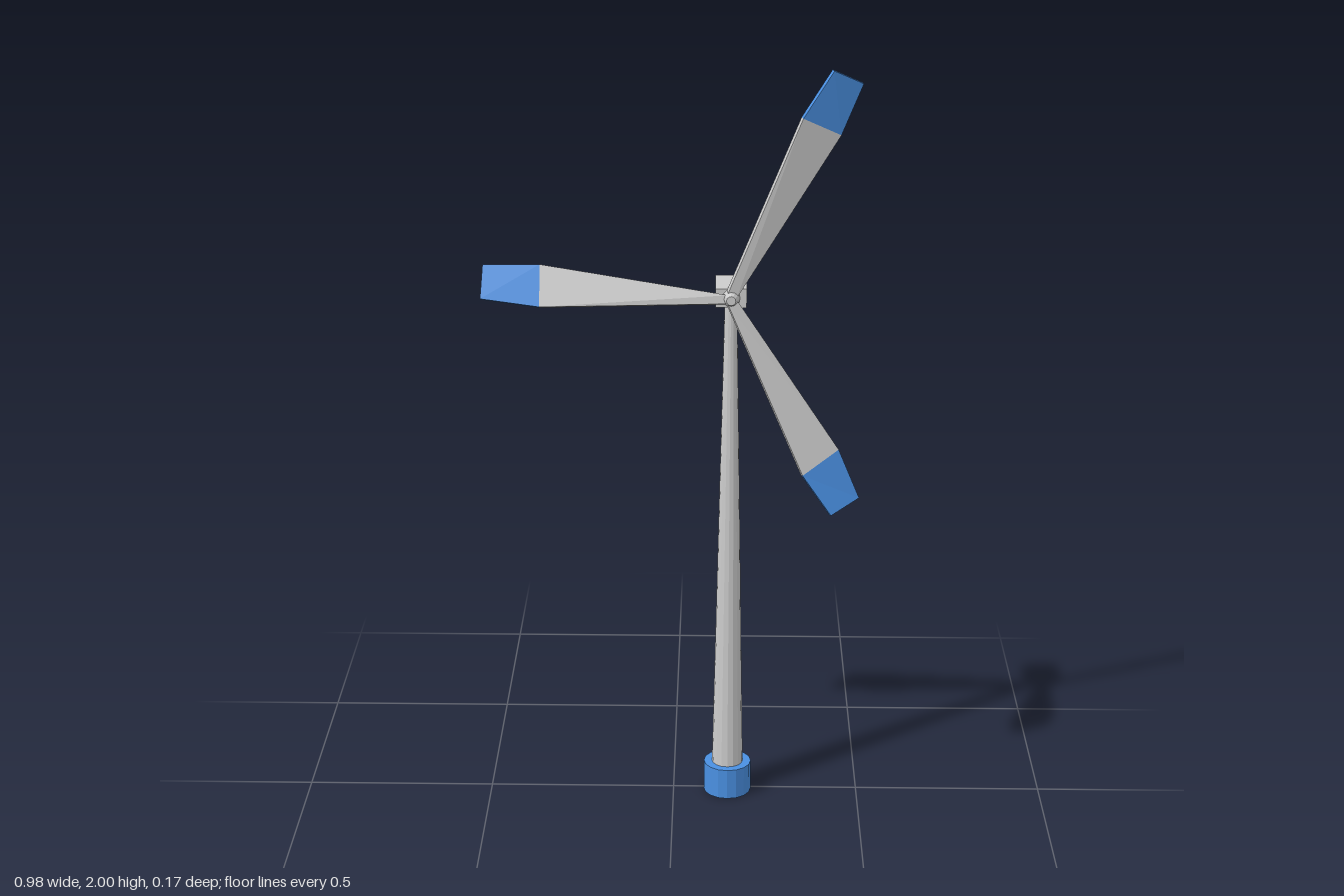
import * as THREE from 'three';

const grey = new THREE.MeshStandardMaterial({ color: 0xcccccc, flatShading: true });
const blue = new THREE.MeshStandardMaterial({ color: 0x4a90e2, flatShading: true });
const AX = 0.147, AZ = 0.008, HUB_Y = 1.413;
const THICKNESS = 0.014;

function add(parent, name, geometry, material, x = 0, y = 0, z = 0) {
  const mesh = new THREE.Mesh(geometry, material);
  mesh.name = name;
  mesh.position.set(x, y, z);
  parent.add(mesh);
  return mesh;
}

// Four-cornered ring from the two front edge points, thickened towards the back
function ring([a, b], normal) {
  const A = new THREE.Vector3(...a), B = new THREE.Vector3(...b);
  const back = normal.clone().multiplyScalar(-THICKNESS);
  return [A, B, B.clone().add(back), A.clone().add(back)];
}

// Closed solid between two rings
function loft(inner, outer) {
  const points = [];
  const quad = (a, b, c, d) => points.push(a, b, c, a, c, d);
  for (let k = 0; k < 4; k++) {
    const n = (k + 1) % 4;
    quad(inner[k], outer[k], outer[n], inner[n]);
  }
  quad(outer[0], outer[3], outer[2], outer[1]);
  quad(...inner);
  const geometry = new THREE.BufferGeometry().setFromPoints(points);
  geometry.computeVertexNormals();
  return geometry;
}

// Blade sections: root, start of the coloured tip, end (two front edge points each)
const blades = {
  rightBlade: [
    [[0.14, 1.424, 0.050], [0.14, 1.402, 0.053]],
    [[-0.34, 1.50, 0.040], [-0.34, 1.40, 0.083]],
    [[-0.485, 1.50, 0.043], [-0.49, 1.42, 0.081]],
  ],
  upperBlade: [
    [[0.16, 1.413, 0.048], [0.136, 1.421, 0.052]],
    [[0.42, 1.83, 0.008], [0.323, 1.88, 0.045]],
    [[0.473, 1.96, 0.005], [0.398, 1.998, 0.037]],
  ],
  lowerBlade: [
    [[0.138, 1.403, 0.053], [0.16, 1.414, 0.050]],
    [[0.336, 0.947, 0.083], [0.43, 1.005, 0.042]],
    [[0.412, 0.835, 0.080], [0.486, 0.872, 0.045]],
  ],
};

function makeBlade(name, sections) {
  const group = new THREE.Group();
  group.name = name;
  const [a, b] = sections[1].map(p => new THREE.Vector3(...p));
  const along = new THREE.Vector3(...sections[2][0]).sub(a);
  const normal = a.clone().sub(b).cross(along).normalize();
  const rings = sections.map(s => ring(s, normal));
  add(group, 'bladeBody', loft(rings[0], rings[1]), grey);
  add(group, 'bladeTip', loft(rings[1], rings[2]), blue);
  return group;
}

export function createModel() {
  const model = new THREE.Group();
  model.name = 'windTurbine';

  // Foot and tapering tower
  add(model, 'base', new THREE.CylinderGeometry(0.064, 0.064, 0.085, 16), blue, AX, 0.0425, AZ);
  add(model, 'tower', new THREE.CylinderGeometry(0.016, 0.042, 1.32, 16), grey, AX, 0.735, AZ);

  // Nacelle with a short tapered hub on its front
  add(model, 'nacelle', new THREE.BoxGeometry(0.08, 0.05, 0.127), grey, AX, HUB_Y, -0.0235);
  const hub = add(model, 'hub', new THREE.CylinderGeometry(0.012, 0.024, 0.027, 12), grey, AX, HUB_Y, 0.052);
  hub.rotation.x = Math.PI / 2;

  // Three pitched blades
  for (const [name, sections] of Object.entries(blades)) model.add(makeBlade(name, sections));
  return model;
}
